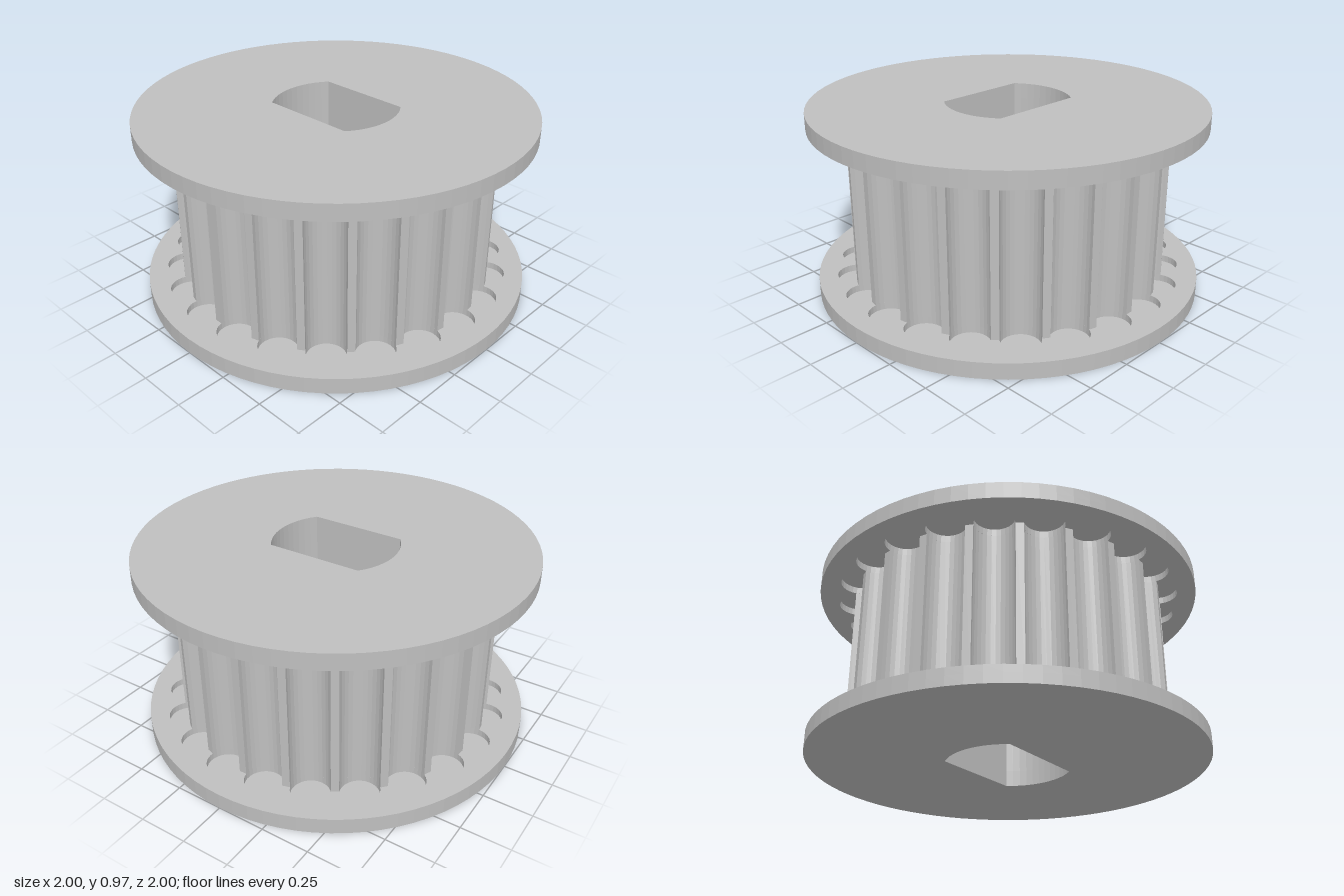
import * as THREE from 'three';

const TEETH = 22;
const DRUM_R = 0.817;                       // tooth tip radius
const GROOVE_R = 0.097, GROOVE_C = 0.808;   // round groove cutters and their ring radius
const PLATE = 0.048, POCKET = 0.035, HEIGHT = 0.972;
const FLANGE = PLATE + POCKET;

// Point on a groove cutter: a = direction of the groove, t = angle around the cutter
function groovePoint(a, t) {
  return new THREE.Vector2(GROOVE_C + GROOVE_R * Math.cos(t), GROOVE_R * Math.sin(t))
    .rotateAround(new THREE.Vector2(), a);
}

function circlePoints(r, n) {
  return Array.from({ length: n }, (_, i) => {
    const a = (i / n) * Math.PI * 2;
    return new THREE.Vector2(r * Math.cos(a), r * Math.sin(a));
  });
}

// Shaft hole: a circle with two flats
function borePath() {
  const r = 0.32, a = Math.asin(0.2 / r);
  const pts = [];
  for (const start of [-a, Math.PI - a]) {
    for (let i = 0; i <= 12; i++) {
      const t = start + (i / 12) * 2 * a;
      pts.push(new THREE.Vector2(r * Math.cos(t), r * Math.sin(t)));
    }
  }
  return new THREE.Path(pts);
}

// Drum outline with a round groove between each pair of teeth
function drumShape() {
  const edge = Math.acos((DRUM_R ** 2 - GROOVE_C ** 2 - GROOVE_R ** 2) / (2 * GROOVE_C * GROOVE_R));
  const pts = [];
  for (let k = 0; k < TEETH; k++) {
    const a = (k / TEETH) * Math.PI * 2;
    for (let i = 0; i <= 14; i++) {
      pts.push(groovePoint(a, -edge - (i / 14) * (Math.PI * 2 - 2 * edge)));
    }
  }
  return new THREE.Shape(pts);
}

// Flange disc, optionally pierced by the ring of groove ends
function flangeShape(withPockets) {
  const shape = new THREE.Shape(circlePoints(1, 80));
  if (withPockets) {
    for (let k = 0; k < TEETH; k++) {
      const a = (k / TEETH) * Math.PI * 2;
      const pts = Array.from({ length: 28 }, (_, i) => groovePoint(a, (i / 28) * Math.PI * 2));
      shape.holes.push(new THREE.Path(pts));
    }
  }
  return shape;
}

export function createModel() {
  const group = new THREE.Group();
  group.name = 'timingPulley';
  const metal = new THREE.MeshStandardMaterial({ color: 0xbfbfbf });
  metal.name = 'grey metal';

  // Extrude a bored layer upward from height y
  const addLayer = (name, shape, y, height) => {
    shape.holes.push(borePath());
    const geo = new THREE.ExtrudeGeometry(shape, { depth: height, bevelEnabled: false });
    geo.rotateX(-Math.PI / 2);
    const mesh = new THREE.Mesh(geo, metal);
    mesh.name = name;
    mesh.position.y = y;
    group.add(mesh);
  };

  addLayer('lowerFlangePlate', flangeShape(false), 0, PLATE);
  addLayer('lowerFlangePockets', flangeShape(true), PLATE, POCKET);
  addLayer('toothedDrum', drumShape(), FLANGE, HEIGHT - 2 * FLANGE);
  addLayer('upperFlangePockets', flangeShape(true), HEIGHT - FLANGE, POCKET);
  addLayer('upperFlangePlate', flangeShape(false), HEIGHT - PLATE, PLATE);
  return group;
}
